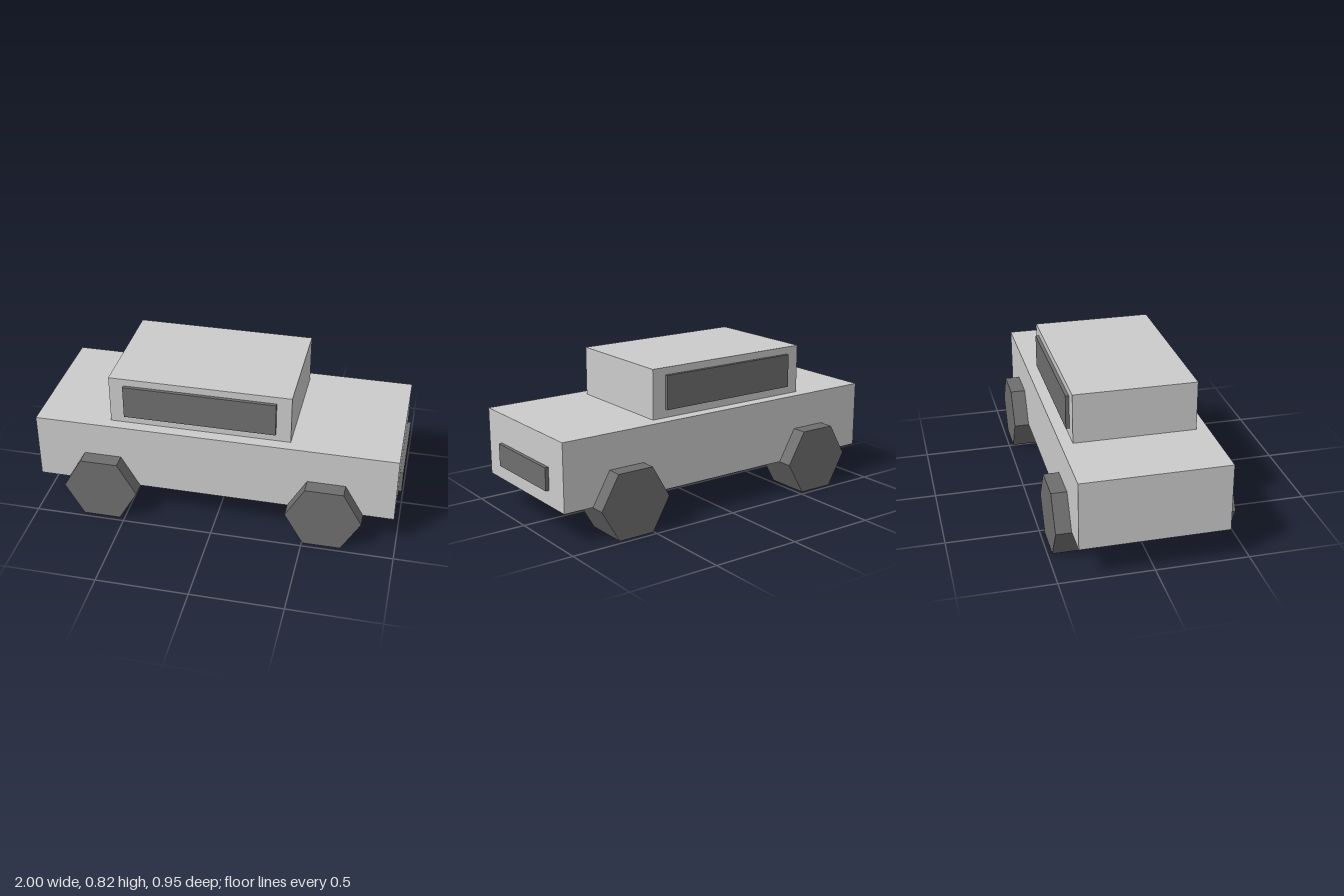
import * as THREE from 'three';

const bodyPaint = new THREE.MeshStandardMaterial({ color: 0xcccccc, flatShading: true });
const darkTrim = new THREE.MeshStandardMaterial({ color: 0x6e6e6e, flatShading: true });

// Box given by its [min, max] extent along each axis
function box(name, [x0, x1], [y0, y1], [z0, z1], material) {
  const mesh = new THREE.Mesh(new THREE.BoxGeometry(x1 - x0, y1 - y0, z1 - z0), material);
  mesh.position.set((x0 + x1) / 2, (y0 + y1) / 2, (z0 + z1) / 2);
  mesh.name = name;
  return mesh;
}

export function createModel() {
  const car = new THREE.Group();
  car.name = 'car';

  // Lower body, cabin and nose grille
  car.add(
    box('body', [-1, 0.98], [0.18, 0.55], [-0.392, 0.392], bodyPaint),
    box('cabin', [-0.59, 0.4], [0.55, 0.82], [-0.328, 0.328], bodyPaint),
    box('grille', [0.97, 1], [0.263, 0.387], [-0.248, 0.248], darkTrim)
  );

  // Six-sided wheel lying along z, flat side down
  const wheelGeometry = new THREE.CylinderGeometry(0.206, 0.206, 0.247, 6, 1, false, Math.PI / 6);
  wheelGeometry.rotateX(Math.PI / 2);

  for (const side of [1, -1]) {
    const sideName = side > 0 ? 'front' : 'back';

    // Raised side window
    const window = box(sideName + 'SideWindow', [-0.51, 0.32], [0.595, 0.78], [0.31, 0.347], darkTrim);
    window.position.z *= side;
    car.add(window);

    // Pair of wheels, partly sunk into the body
    for (const [end, x] of [['Rear', -0.63], ['Nose', 0.608]]) {
      const wheel = new THREE.Mesh(wheelGeometry, darkTrim);
      wheel.name = sideName + end + 'Wheel';
      wheel.position.set(x, 0.1785, side * 0.3515);
      car.add(wheel);
    }
  }
  return car;
}
